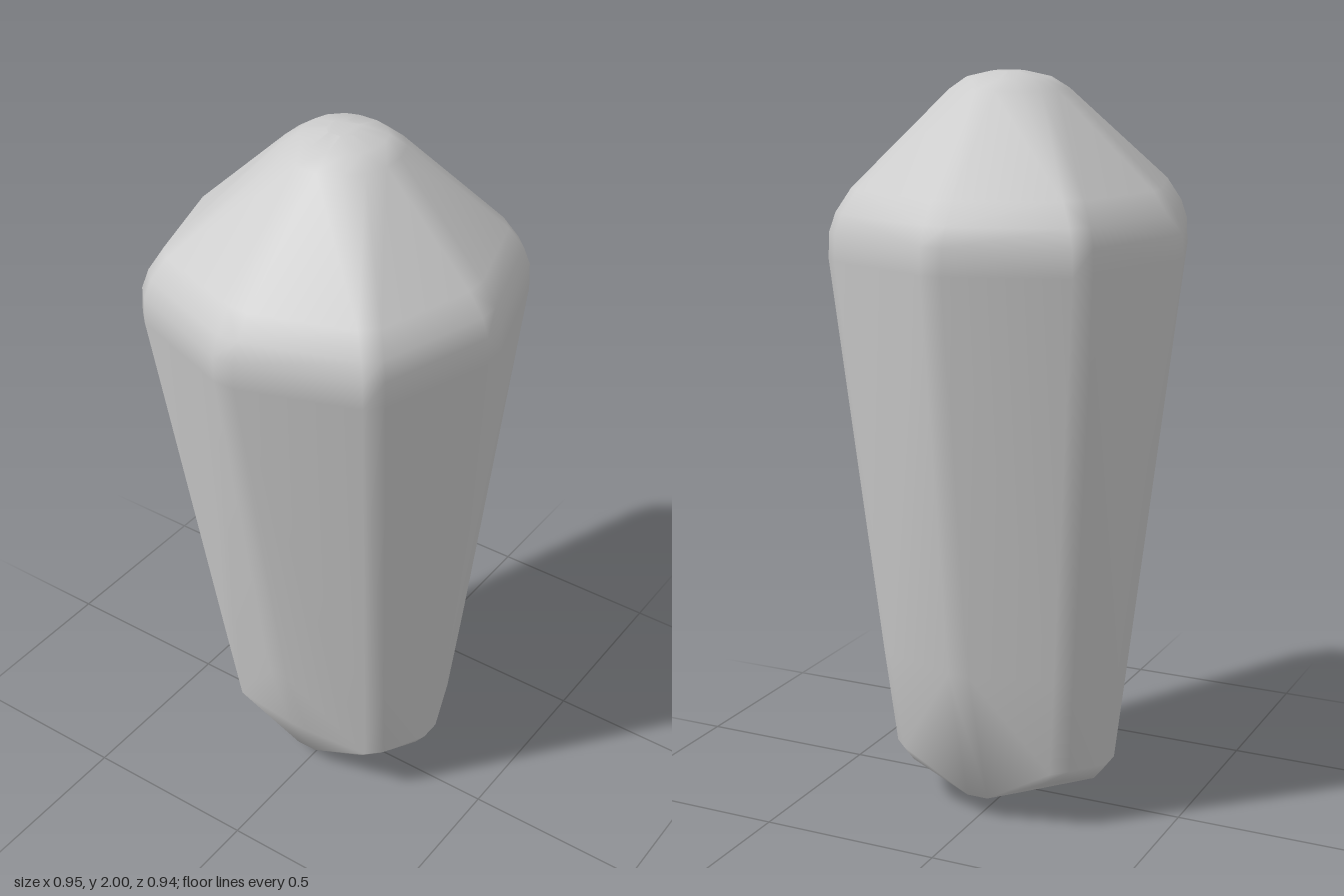
import * as THREE from 'three';
import { ConvexGeometry } from 'three/addons/geometries/ConvexGeometry.js';
import { mergeVertices } from 'three/addons/utils/BufferGeometryUtils.js';

// Bevelled octagon cross-sections, bottom to top:
// [centre x, side x, side y, diagonal x, diagonal z, diagonal y, front z, front y, bevel half-width]
const rings = [
  [0.035, 0.03, 0.0, 0.02, 0.02, 0.0, 0.03, 0.0, 0.015],
  [0.035, 0.195, 0.06, 0.175, 0.215, 0.135, 0.275, 0.1, 0.03],
  [0.03, 0.228, 0.17, 0.19, 0.24, 0.17, 0.308, 0.145, 0.03],
  [0.025, 0.315, 0.45, 0.225, 0.263, 0.45, 0.343, 0.45, 0.03],
  [0, 0.475, 1.53, 0.35, 0.35, 1.53, 0.468, 1.53, 0.03],
  [0, 0.473, 1.6, 0.348, 0.348, 1.6, 0.463, 1.6, 0.03],
  [0, 0.453, 1.65, 0.335, 0.335, 1.65, 0.445, 1.65, 0.03],
  [0, 0.41, 1.71, 0.305, 0.305, 1.71, 0.405, 1.71, 0.03],
  [0.02, 0.15, 1.955, 0.11, 0.11, 1.955, 0.15, 1.955, 0.03],
  [0.025, 0.105, 1.985, 0.077, 0.077, 1.985, 0.105, 1.985, 0.025],
  [0.025, 0.04, 2.0, 0.03, 0.03, 2.0, 0.04, 2.0, 0.015],
];

export function createModel() {
  const points = [];
  for (const [cx, ax, ay, dx, dz, dy, fz, fy, b] of rings) {
    for (const sx of [-1, 1]) {
      for (const sz of [-1, 1]) {
        const add = (x, y, z) => points.push(new THREE.Vector3(cx + sx * x, y, sz * z));
        const c = b * 0.65;
        add(ax, ay, b);
        add(dx + c, dy, dz - c);
        add(dx - c, dy, dz + c);
        add(b, fy, fz);
      }
    }
  }

  // Shared vertices give soft bevels, while large facets dominate the normals
  let geometry = new ConvexGeometry(points);
  geometry.deleteAttribute('normal');
  geometry = mergeVertices(geometry);
  geometry.computeVertexNormals();

  const crystal = new THREE.Mesh(geometry, new THREE.MeshStandardMaterial({ color: 0xcccccc }));
  crystal.name = 'crystal';
  const group = new THREE.Group();
  group.name = 'crystalShard';
  group.add(crystal);
  return group;
}
